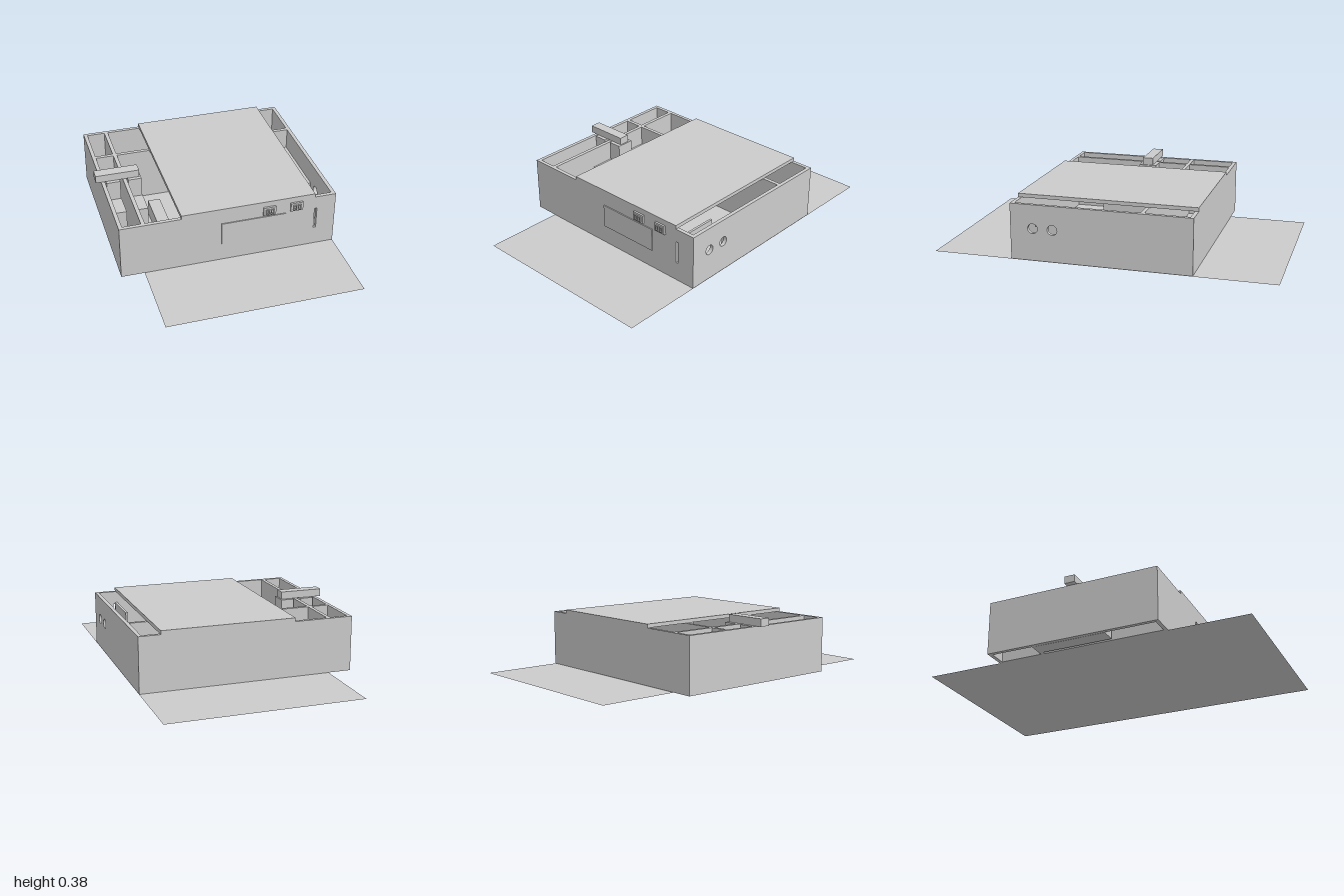
import * as THREE from 'three';

export function createModel() {
  const model = new THREE.Group();
  const mat = new THREE.MeshStandardMaterial({ color: 0xcccccc, flatShading: true });
  const thinMat = new THREE.MeshStandardMaterial({ color: 0xcccccc, side: THREE.DoubleSide });

  const add = (name, geometry, material = mat) => {
    const mesh = new THREE.Mesh(geometry, material);
    mesh.name = name;
    model.add(mesh);
    return mesh;
  };
  // Box given by its minimum and maximum on each axis
  const box = (name, x0, x1, y0, y1, z0, z1) =>
    add(name, new THREE.BoxGeometry(x1 - x0, y1 - y0, z1 - z0)
      .translate((x0 + x1) / 2, (y0 + y1) / 2, (z0 + z1) / 2));
  const rect = (T, x0, x1, y0, y1) => new T([
    new THREE.Vector2(x0, y0), new THREE.Vector2(x1, y0),
    new THREE.Vector2(x1, y1), new THREE.Vector2(x0, y1)]);
  const extrude = (shape, depth) =>
    new THREE.ExtrudeGeometry(shape, { depth, bevelEnabled: false, curveSegments: 16 });

  const L = -0.624, R = 0.652, B = -0.53, F = 0.525; // outer case
  const y0 = 0.002, H = 0.33, T = 0.022;             // base, wall height, wall thickness

  // Thin ground sheet
  add('baseSheet', new THREE.PlaneGeometry(R + 0.488, 2).rotateX(-Math.PI / 2)
    .translate((R - 0.488) / 2, 0, 0), thinMat);

  // Front wall with the slider slot
  const front = rect(THREE.Shape, L, R, y0, H);
  front.holes.push(rect(THREE.Path, 0.525, 0.54, 0.115, 0.25));
  add('frontWall', extrude(front, T).translate(0, 0, F - T));

  // Right wall with two round holes
  const side = rect(THREE.Shape, B + T, F - T, y0, H);
  for (const z of [0.392, 0.276]) {
    side.holes.push(new THREE.Path().absarc(z, 0.19, 0.029, 0, Math.PI * 2, true));
  }
  add('sideWall', extrude(side, T).rotateY(-Math.PI / 2).translate(R, 0, 0));

  box('backWall', L, R, y0, H, B, B + T);
  box('outerWall', L, L + T, y0, H, B + T, F - T);
  box('innerWall', -0.495, -0.473, y0, H, B + T, F - T);
  box('crossDividerOuter', L + T, -0.495, y0, H, -0.252, -0.23);
  box('crossDivider', -0.473, R - T, y0, H, -0.252, -0.23);
  box('lid', -0.27, 0.524, H, 0.352, B, F);

  // Two long blocks with posts that carry the crossbar
  for (const [x0, x1] of [[-0.6, -0.512], [-0.471, -0.384]]) {
    box('longBlock', x0, x1, y0, 0.21, -0.23, 0.2);
    box('post', x0 + 0.005, x1 - 0.002, 0.21, H, -0.05, 0.058);
  }
  box('crossbar', -0.655, -0.395, H, 0.375, -0.028, 0.036);

  // Parts inside the case
  box('innerBoard', -0.333, -0.26, y0, 0.1, -0.03, 0.262);
  box('rearBlock', 0.575, R - T, y0, 0.2, -0.23, 0.2);
  box('connector', 0.535, 0.575, 0.1, 0.15, -0.1, -0.06);
  box('connector', 0.54, 0.575, 0.1, 0.15, -0.045, -0.01);
  box('sliderPlate', 0.515, 0.529, 0.1, 0.26, 0.23, F - T);
  box('sliderKnob', 0.529, 0.541, 0.165, 0.2, 0.37, 0.42);

  // Front panel and two display modules with raised frames
  box('frontPanel', -0.035, 0.348, 0.115, 0.254, F, F + 0.006);
  for (const x of [0.248, 0.412]) {
    box('displayBody', x - 0.037, x + 0.037, 0.265, 0.318, F, F + 0.012);
    for (const dx of [-0.014, 0.014]) {
      const frame = rect(THREE.Shape, -0.01, 0.01, -0.016, 0.016);
      frame.holes.push(rect(THREE.Path, -0.005, 0.005, -0.011, 0.011));
      add('displayFrame', extrude(frame, 0.007).translate(x + dx, 0.291, F + 0.012));
    }
  }
  return model;
}
